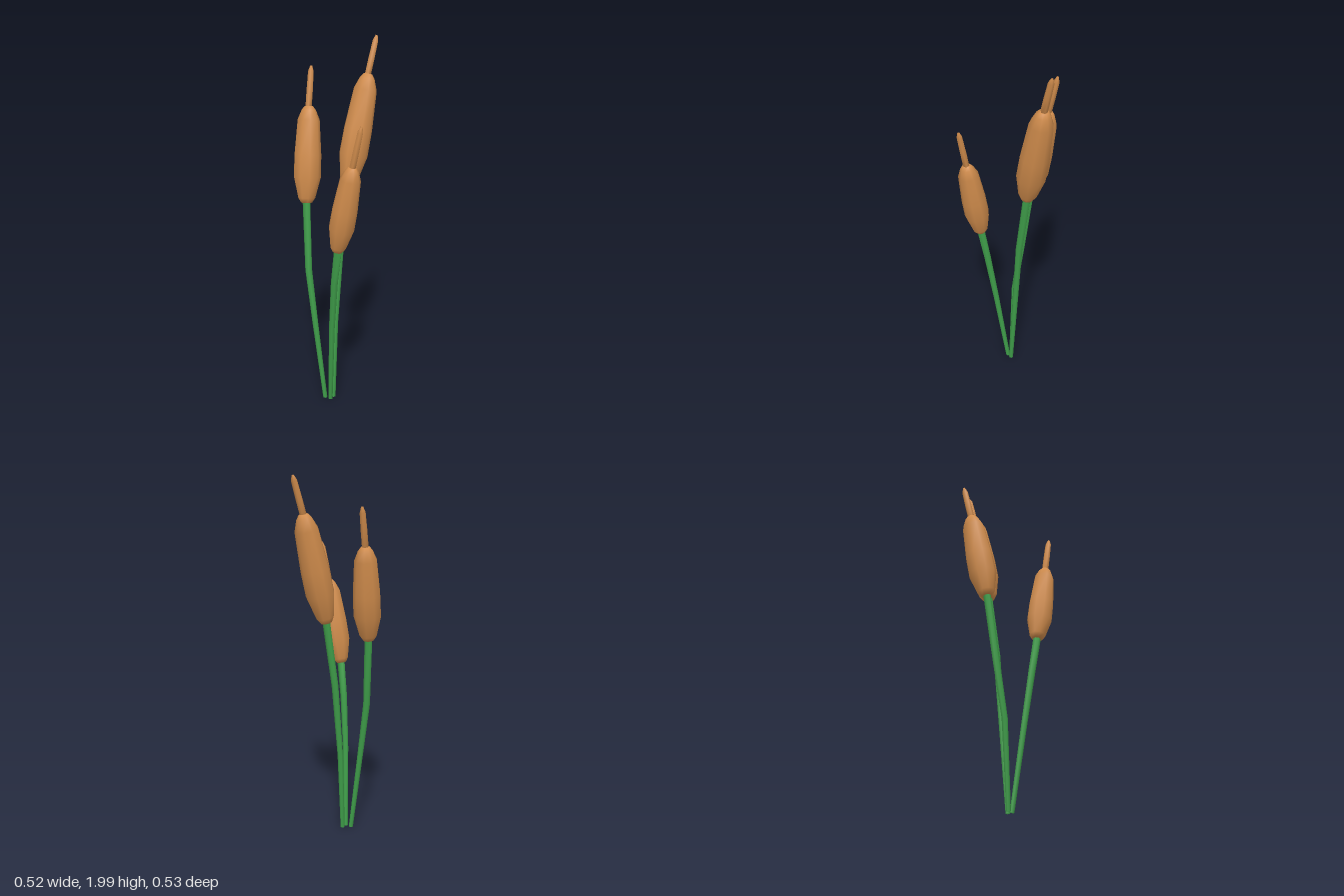
import * as THREE from 'three';

// Smooth tapered tube through rings [x, y, z, radius], closed at both ends
function loft(rings, sides) {
  const pts = rings.map(r => new THREE.Vector3(r[0], r[1], r[2]));
  const pos = [], idx = [];
  const last = rings.length - 1;
  rings.forEach((r, i) => {
    const dir = pts[Math.min(i + 1, last)].clone().sub(pts[Math.max(i - 1, 0)]).normalize();
    const u = new THREE.Vector3(0, 0, 1).cross(dir).negate().normalize();
    const v = u.clone().cross(dir).normalize();
    for (let k = 0; k < sides; k++) {
      const a = (k / sides) * Math.PI * 2;
      const p = pts[i].clone().addScaledVector(u, Math.cos(a) * r[3]).addScaledVector(v, Math.sin(a) * r[3]);
      pos.push(p.x, p.y, p.z);
    }
  });
  for (let i = 0; i < last; i++) {
    for (let k = 0; k < sides; k++) {
      const a = i * sides + k, b = i * sides + (k + 1) % sides;
      idx.push(a, a + sides, b, b, a + sides, b + sides);
    }
  }
  // end caps
  const top = last * sides;
  for (let k = 1; k < sides - 1; k++) {
    idx.push(0, k, k + 1, top, top + k + 1, top + k);
  }
  const g = new THREE.BufferGeometry();
  g.setAttribute('position', new THREE.Float32BufferAttribute(pos, 3));
  g.setIndex(idx);
  g.computeVertexNormals();
  return g;
}

// Rings along a straight axis from a profile of [fraction, radius]
function along(from, to, profile) {
  return profile.map(([t, r]) => [...from.map((f, i) => f + (to[i] - f) * t), r]);
}

export function createModel() {
  const green = new THREE.MeshStandardMaterial({ color: 0x3f9e4a });
  green.name = 'stemGreen';
  const brown = new THREE.MeshStandardMaterial({ color: 0xd08c4c });
  brown.name = 'reedBrown';

  // stem path, then head bottom, head top and spike tip; girth scales the head
  const reeds = [
    { name: 'backReed', girth: 1.06,
      stem: [[0, 0.005, 0.09], [-0.008, 0.45, 0.06], [-0.004, 0.86, 0.02], [0, 1.25, -0.05]],
      bottom: [0, 1.225, -0.045], top: [0.025, 1.8, -0.19], tip: [0.035, 1.995, -0.252] },
    { name: 'leftReed', girth: 1.02,
      stem: [[-0.032, 0.005, 0.125], [-0.08, 0.46, 0.148], [-0.13, 0.76, 0.138], [-0.168, 1.16, 0.103]],
      bottom: [-0.165, 1.13, 0.106], top: [-0.208, 1.635, 0.022], tip: [-0.224, 1.84, -0.024] },
    { name: 'rightReed', girth: 0.92,
      stem: [[0, 0.005, 0.118], [0.046, 0.46, 0.165], [0.083, 0.75, 0.19], [0.118, 0.96, 0.203]],
      bottom: [0.113, 0.94, 0.204], top: [0.203, 1.4, 0.197], tip: [0.25, 1.61, 0.189] },
  ];
  const stemRadii = [0.012, 0.016, 0.019, 0.021];
  const headProfile = [[0, 0.03], [0.05, 0.046], [0.27, 0.073], [0.5, 0.072], [0.86, 0.059], [0.96, 0.038], [1, 0.022]];
  const spikeProfile = [[-0.1, 0.018], [0.4, 0.018], [0.86, 0.016], [1, 0.006]];

  const model = new THREE.Group();
  for (const r of reeds) {
    const reed = new THREE.Group();
    reed.name = r.name;
    const add = (name, geometry, material) => {
      const mesh = new THREE.Mesh(geometry, material);
      mesh.name = name;
      reed.add(mesh);
    };
    add('stem', loft(r.stem.map((p, i) => [...p, stemRadii[i]]), 7), green);
    add('seedHead', loft(along(r.bottom, r.top, headProfile.map(([t, w]) => [t, w * r.girth])), 9), brown);
    add('spike', loft(along(r.top, r.tip, spikeProfile), 6), brown);
    model.add(reed);
  }
  return model;
}
